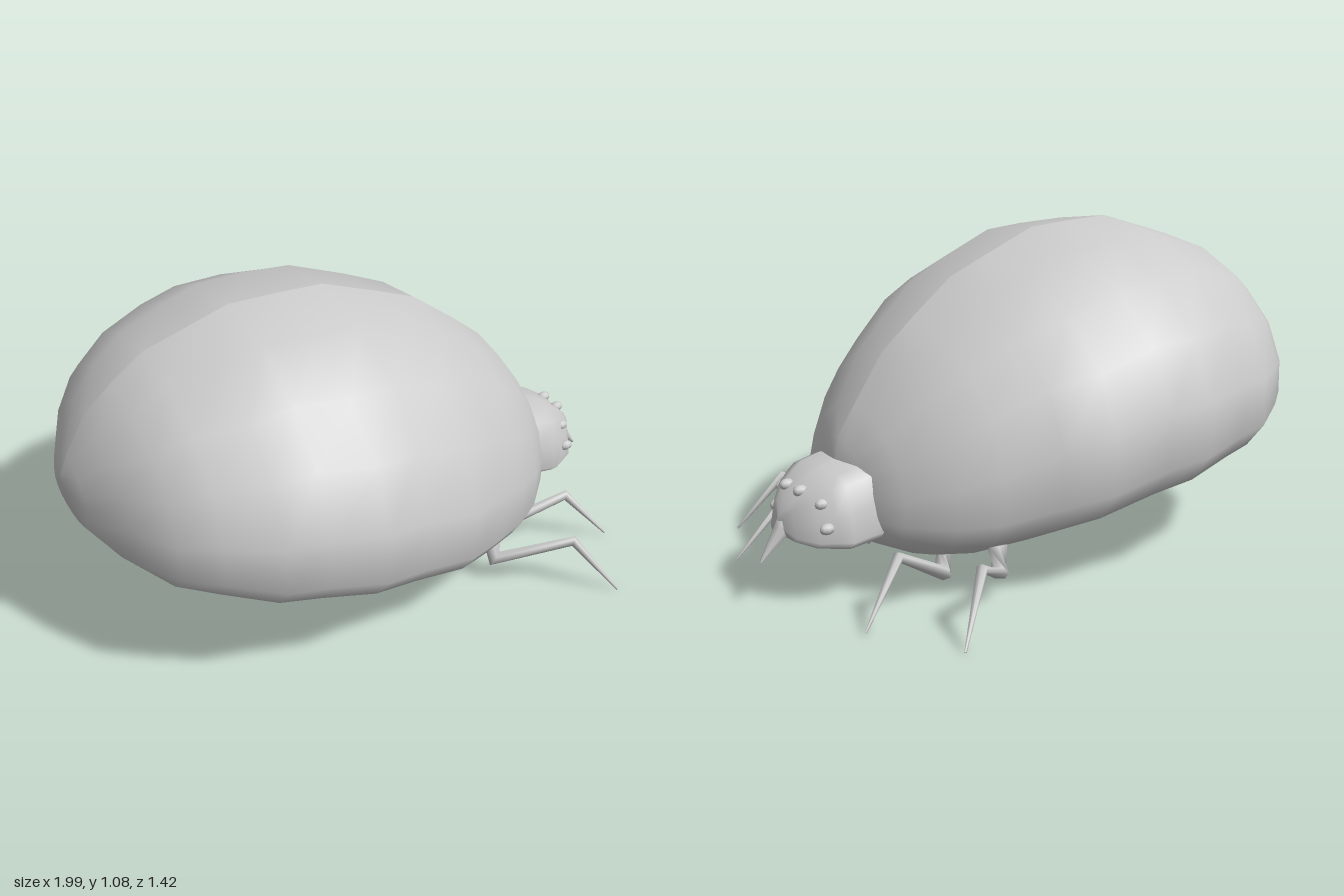
import * as THREE from 'three';
import { mergeVertices } from 'three/addons/utils/BufferGeometryUtils.js';

const material = new THREE.MeshStandardMaterial({ color: 0xcccccc, side: THREE.DoubleSide });
const V = (x, y, z) => new THREE.Vector3(x, y, z);

// Skin a list of equally long cross-sections with smooth normals
function loft(rings, name) {
  const n = rings[0].length, index = [];
  for (let i = 0; i < rings.length - 1; i++) {
    for (let j = 0; j < n - 1; j++) {
      const a = i * n + j, c = a + n;
      index.push(a, a + 1, c, a + 1, c + 1, c);
    }
  }
  let geo = new THREE.BufferGeometry().setFromPoints(rings.flat());
  geo.setIndex(index);
  geo = mergeVertices(geo, 1e-5);
  geo.computeVertexNormals();
  const mesh = new THREE.Mesh(geo, material);
  mesh.name = name;
  return mesh;
}

// Half cross-sections run from the top over the side to the bottom
function half(rings, side, name) {
  return loft(rings.map(r => {
    const pts = r.map(p => V(p.x, p.y, p.z * side));
    return side < 0 ? pts.reverse() : pts;
  }), name);
}

// Body stations: x, top, bottom, half width
const bodyStations = [
  [-1, 0.64, 0.62, 0], [-0.975, 0.71, 0.49, 0.15], [-0.9, 0.84, 0.41, 0.33],
  [-0.81, 0.92, 0.35, 0.48], [-0.7, 1.0, 0.315, 0.565], [-0.54, 1.05, 0.265, 0.66],
  [-0.41, 1.09, 0.24, 0.685], [-0.23, 1.087, 0.205, 0.718], [-0.08, 1.08, 0.18, 0.695],
  [0.12, 1.005, 0.14, 0.66], [0.26, 0.95, 0.115, 0.585], [0.42, 0.83, 0.095, 0.485],
  [0.53, 0.74, 0.105, 0.4], [0.64, 0.585, 0.155, 0.28], [0.7, 0.5, 0.22, 0.13],
  [0.72, 0.4, 0.33, 0],
];
const bodyRings = bodyStations.map(([x, top, bottom, w]) => {
  const mid = bottom + 0.32 * (top - bottom);
  return Array.from({ length: 10 }, (_, j) => {
    const a = j * Math.PI / 9;
    const c = Math.cos(a), s = Math.sin(a);
    // domed above, fuller and flatter below
    return c > 0
      ? V(x, mid + (top - mid) * c, w * s)
      : V(x, mid - (mid - bottom) * Math.pow(-c, 0.8), w * Math.pow(Math.max(s, 0), 0.9));
  });
});

// Head stations: x, top, bottom, half width at top, half width at bottom
const headStations = [
  [0.6, 0.43, 0.2, 0.155, 0.19], [0.7, 0.43, 0.195, 0.157, 0.19],
  [0.77, 0.415, 0.19, 0.155, 0.195], [0.81, 0.4, 0.195, 0.13, 0.175],
  [0.86, 0.37, 0.2, 0.1, 0.145], [0.905, 0.325, 0.215, 0.055, 0.08],
  [0.925, 0.28, 0.25, 0, 0],
];
const headRings = headStations.map(([x, t, b, wt, wb]) => {
  const h = t - b;
  return [V(x, t, 0), V(x, t - 0.02 * h, wt * 0.65), V(x, t - 0.12 * h, wt),
    V(x, b + h * 0.5, (wt + wb) / 2), V(x, b + 0.12 * h, wb),
    V(x, b, wb * 0.85), V(x, b, 0)];
});

// Tapered limb through joints with a radius at each
function limb(points, radii, name, sides = 6) {
  const rings = points.map((p, i) => {
    const dir = V(0, 0, 0);
    if (i > 0) dir.add(p.clone().sub(points[i - 1]).normalize());
    if (i < points.length - 1) dir.add(points[i + 1].clone().sub(p).normalize());
    dir.normalize();
    const q = new THREE.Quaternion().setFromUnitVectors(V(0, 0, 1), dir);
    return Array.from({ length: sides + 1 }, (_, j) => {
      const a = (j % sides) / sides * Math.PI * 2;
      return V(Math.cos(a), Math.sin(a), 0).multiplyScalar(radii[i]).applyQuaternion(q).add(p);
    });
  });
  const last = points.length - 1;
  rings.unshift(rings[0].map(() => points[0].clone()));
  rings.push(rings[rings.length - 1].map(() => points[last].clone()));
  return loft(rings, name);
}

export function createModel() {
  const model = new THREE.Group();
  model.name = 'beetle';

  const body = new THREE.Group();
  body.name = 'body';
  const head = new THREE.Group();
  head.name = 'head';

  const legs = [
    ['rearLeg', [[0.37, 0.17, 0.38], [0.375, 0.085, 0.40], [0.575, 0.2, 0.57], [0.71, 0.008, 0.665]]],
    ['frontLeg', [[0.42, 0.14, 0.17], [0.46, 0.05, 0.215], [0.71, 0.2, 0.335], [0.865, 0.015, 0.385]]],
  ];
  const bumps = [[0.865, 0.365, 0.04], [0.835, 0.335, 0.115], [0.84, 0.265, 0.148]];

  for (const side of [1, -1]) {
    const label = side > 0 ? 'near' : 'far';
    body.add(half(bodyRings, side, label + 'Shell'));
    head.add(half(headRings, side, label + 'HeadHalf'));

    // Small eye-like bumps on the face
    for (const [x, y, z] of bumps) {
      const bump = new THREE.Mesh(new THREE.SphereGeometry(0.02, 8, 6), material);
      bump.position.set(x, y, z * side);
      bump.scale.set(1.3, 0.9, 0.9);
      bump.name = 'faceBump';
      head.add(bump);
    }

    // Bent legs, thick at the hip and pointed at the foot
    for (const [name, pts] of legs) {
      model.add(limb(pts.map(([x, y, z]) => V(x, y, z * side)),
        [0.035, 0.03, 0.018, 0.004], name));
    }
  }

  // Pointed beak
  head.add(limb([V(0.88, 0.285, 0), V(0.915, 0.235, 0), V(0.99, 0.15, 0)],
    [0.035, 0.027, 0.004], 'beak', 8));

  model.add(body, head);
  return model;
}
